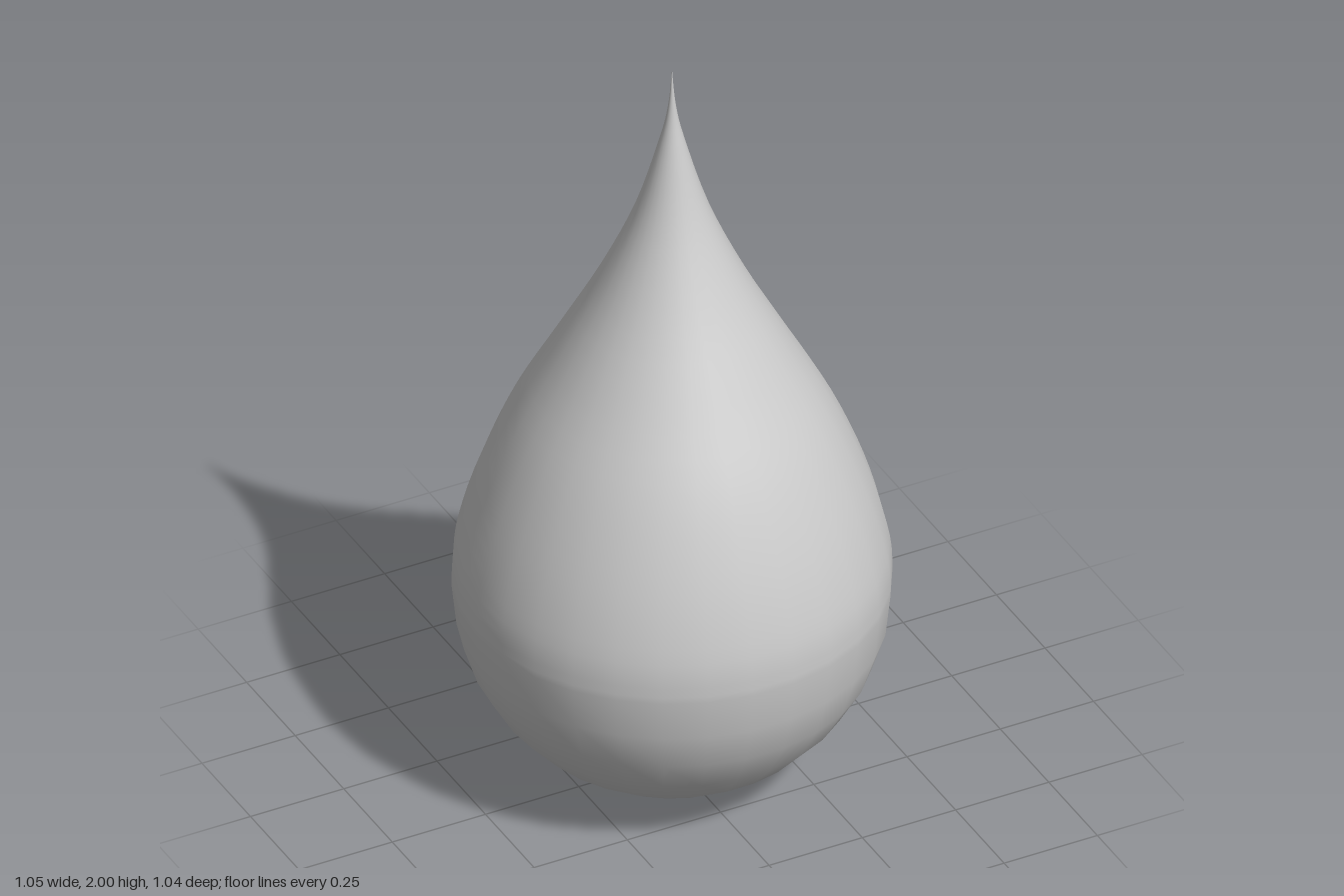
import * as THREE from 'three';

const SIDES = 30;
const RADIUS = 0.525;

export function createModel() {
  const group = new THREE.Group();
  group.name = 'teardrop';

  // Round belly: a faceted half circle with a small flat at the bottom
  const profile = [new THREE.Vector2(0, 0.003)];
  for (let degrees = 6; degrees < 90; degrees += 12) {
    const a = THREE.MathUtils.degToRad(degrees);
    profile.push(new THREE.Vector2(RADIUS * Math.sin(a), RADIUS * (1 - Math.cos(a))));
  }

  // Upper flank: swells in from the belly, then hollows up to a needle tip
  const flank = new THREE.SplineCurve([
    [RADIUS, 0.525], [0.519, 0.63], [0.474, 0.8], [0.393, 1.0], [0.285, 1.2],
    [0.178, 1.4], [0.09, 1.6], [0.03, 1.8], [0.009, 1.9], [0, 2],
  ].map(([r, y]) => new THREE.Vector2(r, y)));
  profile.push(...flank.getPoints(36));

  const drop = new THREE.Mesh(
    new THREE.LatheGeometry(profile, SIDES, Math.PI / 2),
    new THREE.MeshStandardMaterial({ color: 0xcccccc }),
  );
  drop.name = 'dropBody';
  group.add(drop);
  return group;
}
